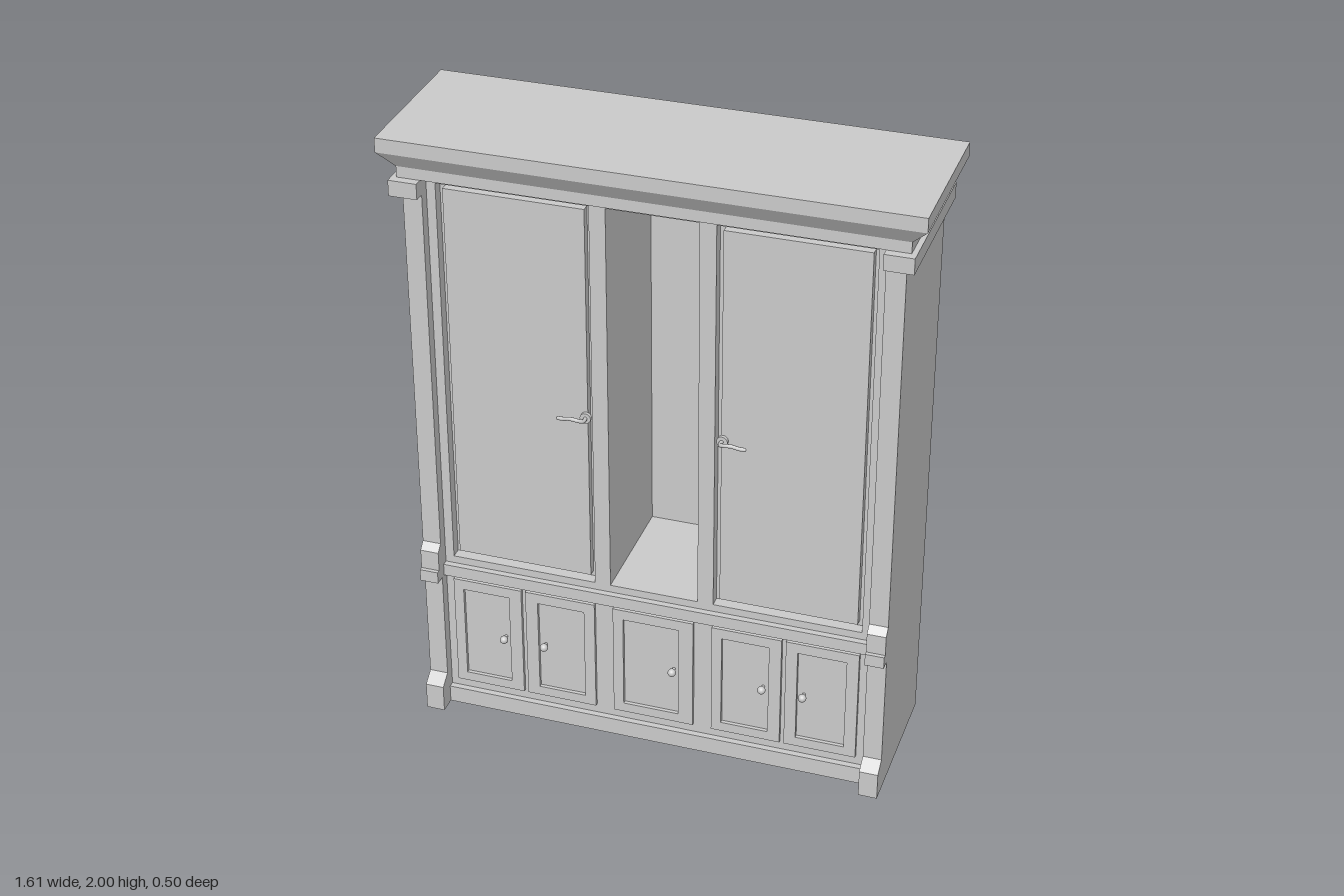
import * as THREE from 'three';

const material = new THREE.MeshStandardMaterial({ color: 0xcccccc });
const BACK = -0.25, FACE = 0.175, HALF = 0.744, INNER = 0.685;

export function createModel() {
  const root = new THREE.Group();

  const add = (name, geometry, parent = root) => {
    const mesh = new THREE.Mesh(geometry, material);
    mesh.name = name;
    parent.add(mesh);
    return mesh;
  };

  // Box given by its limits
  const block = (name, x0, x1, y0, y1, z0, z1, parent) => {
    const g = new THREE.BoxGeometry(x1 - x0, y1 - y0, z1 - z0);
    g.translate((x0 + x1) / 2, (y0 + y1) / 2, (z0 + z1) / 2);
    return add(name, g, parent);
  };

  // Box whose top face is pushed outwards at the sides and moved at the front
  const taper = (name, x0, x1, y0, y1, z0, z1, side, front) => {
    const mesh = block(name, x0, x1, y0, y1, z0, z1);
    const p = mesh.geometry.attributes.position;
    for (let i = 0; i < p.count; i++) {
      if (p.getY(i) < (y0 + y1) / 2) continue;
      p.setX(i, p.getX(i) + (p.getX(i) > (x0 + x1) / 2 ? side : -side));
      if (p.getZ(i) > (z0 + z1) / 2) p.setZ(i, p.getZ(i) + front);
    }
    mesh.geometry.deleteAttribute('normal');
    mesh.geometry = mesh.geometry.toNonIndexed();
    mesh.geometry.computeVertexNormals();
    return mesh;
  };

  // Flat board with rectangular openings [x0, x1, y0, y1]
  const rect = (path, [x0, x1, y0, y1]) => {
    path.moveTo(x0, y0);
    path.lineTo(x1, y0);
    path.lineTo(x1, y1);
    path.lineTo(x0, y1);
    path.closePath();
    return path;
  };
  const board = (name, outer, holes, z0, z1) => {
    const shape = rect(new THREE.Shape(), outer);
    holes.forEach((h) => shape.holes.push(rect(new THREE.Path(), h)));
    const g = new THREE.ExtrudeGeometry(shape, { depth: z1 - z0, bevelEnabled: false });
    g.translate(0, 0, z0);
    return add(name, g);
  };

  // Carcass around the open centre bay
  block('lowerCarcass', -HALF, HALF, 0, 0.555, BACK, 0.14);
  block('upperCarcass', -HALF, HALF, 1.845, 1.9, BACK, 0.14);
  block('backPanel', -0.14, 0.14, 0.555, 1.845, BACK, -0.23);
  for (const s of [-1, 1]) {
    block('sideCarcass', s > 0 ? 0.14 : -HALF, s > 0 ? HALF : -0.14, 0.555, 1.845, BACK, 0.14);
  }

  // Front frame, shelf edge and plinth between the pilasters
  board('frontFrame', [-INNER, INNER, 0, 1.87], [
    [-0.657, -0.19, 0.555, 1.845],
    [-0.14, 0.14, 0.555, 1.845],
    [0.19, 0.657, 0.555, 1.845],
  ], 0.14, FACE);
  block('shelfEdge', -INNER, INNER, 0.49, 0.53, FACE, 0.195);
  block('plinth', -INNER, INNER, 0, 0.057, FACE, 0.195);

  // Pilasters with foot, waist and capital blocks
  for (const s of [-1, 1]) {
    const x0 = s > 0 ? INNER : -HALF, x1 = s > 0 ? HALF : -INNER;
    block('pilaster', x0, x1, 0, 1.87, 0.14, 0.21);
    block('footBlock', x0, x1, 0, 0.09, 0.2, 0.25);
    taper('footSlope', x0, x1, 0.09, 0.12, 0.2, 0.25, 0, -0.04);
    block('waistLedge', x0, x1, 0.49, 0.53, 0.2, 0.245);
    block('waistBlock', x0, x1, 0.53, 0.595, 0.2, 0.232);
    taper('waistSlope', x0, x1, 0.595, 0.617, 0.2, 0.232, 0, -0.022);
    block('capital', s > 0 ? INNER : -0.773, s > 0 ? 0.773 : -INNER, 1.82, 1.87, BACK, 0.245);
  }

  // Cornice
  block('frieze', -0.757, 0.757, 1.87, 1.905, BACK, 0.218);
  taper('corniceSlope', -0.757, 0.757, 1.905, 1.955, BACK, 0.218, 0.048, 0.032);
  block('corniceTop', -0.805, 0.805, 1.955, 2, BACK, 0.25);

  // Tall doors with lever handles
  for (const s of [-1, 1]) {
    const door = new THREE.Group();
    door.name = 'tallDoor';
    root.add(door);
    const a = s * 0.207, b = s * 0.64;
    block('doorPanel', Math.min(a, b), Math.max(a, b), 0.573, 1.827, 0.135, 0.165, door);
    const rose = add('handleRose', new THREE.CylinderGeometry(0.017, 0.017, 0.012, 24), door);
    rose.rotation.x = Math.PI / 2;
    rose.position.set(s * 0.212, 1.14, 0.17);
    const lever = new THREE.CatmullRomCurve3([
      [0.212, 1.14, 0.165], [0.212, 1.141, 0.195], [0.225, 1.147, 0.205],
      [0.25, 1.149, 0.205], [0.272, 1.144, 0.203], [0.288, 1.142, 0.2],
    ].map(([x, y, z]) => new THREE.Vector3(s * x, y, z)));
    add('handleLever', new THREE.TubeGeometry(lever, 24, 0.006, 10), door);
    const tip = add('handleTip', new THREE.SphereGeometry(0.006, 10, 8), door);
    tip.position.set(s * 0.288, 1.142, 0.2);
  }

  // Small cupboard doors: outer x range, panel x range, knob x
  const cupboards = [
    [-0.657, -0.432, -0.625, -0.473, -0.491],
    [-0.418, -0.19, -0.378, -0.225, -0.357],
    [-0.13, 0.13, -0.097, 0.083, 0.065],
    [0.19, 0.412, 0.222, 0.373, 0.354],
    [0.426, 0.655, 0.463, 0.617, 0.484],
  ];
  for (const [x0, x1, p0, p1, knobX] of cupboards) {
    board('cupboardDoor', [x0, x1, 0.09, 0.477], [[p0, p1, 0.122, 0.442]], FACE, 0.187);
    const stem = add('knobStem', new THREE.CylinderGeometry(0.005, 0.005, 0.025, 12));
    stem.rotation.x = Math.PI / 2;
    stem.position.set(knobX, 0.285, 0.183);
    const knob = add('knob', new THREE.SphereGeometry(0.013, 20, 14));
    knob.position.set(knobX, 0.285, 0.197);
  }

  return root;
}
